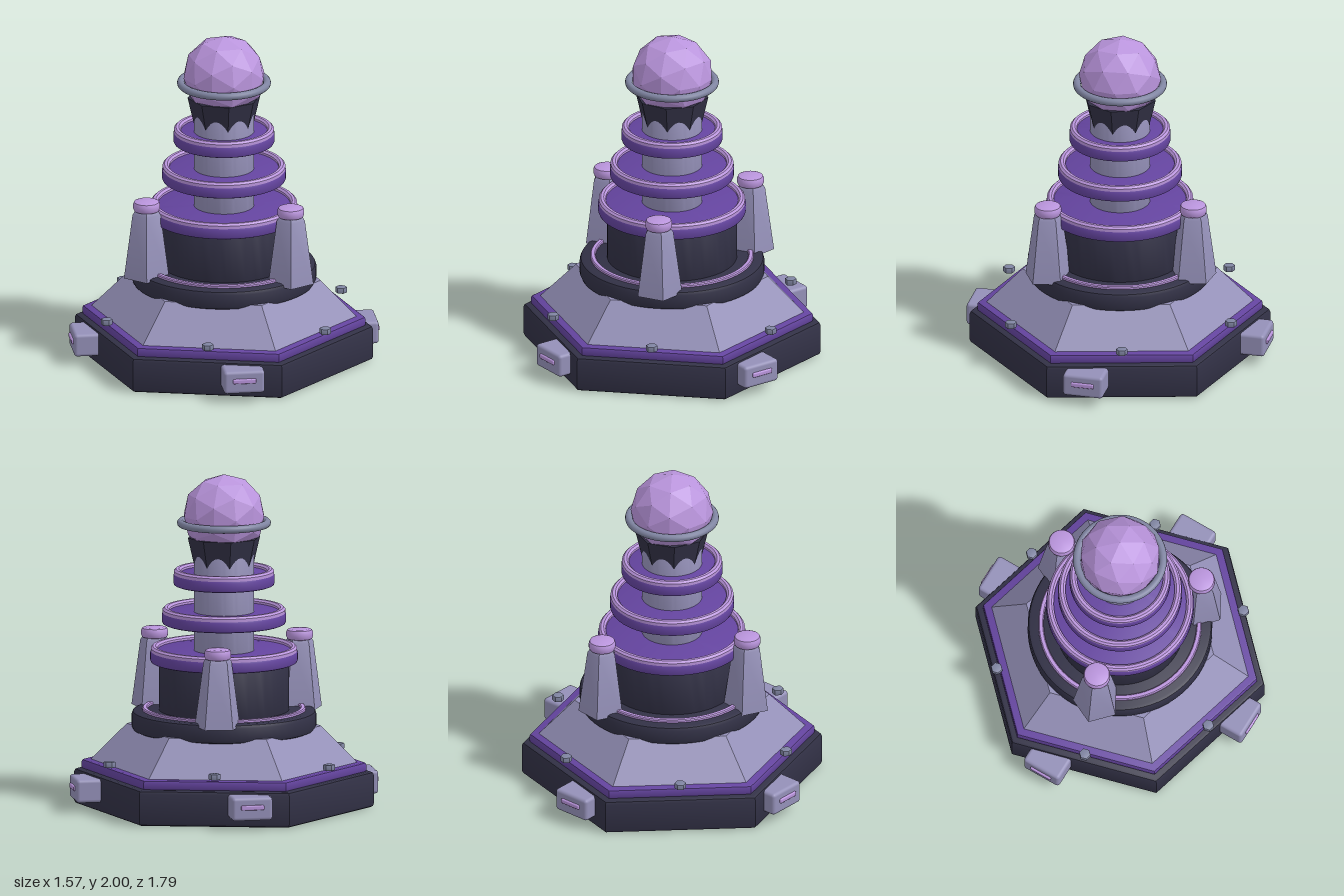
import * as THREE from 'three';
import { toCreasedNormals } from 'three/addons/utils/BufferGeometryUtils.js';
import { RoundedBoxGeometry } from 'three/addons/geometries/RoundedBoxGeometry.js';

const material = (name, color) => {
  const m = new THREE.MeshStandardMaterial({ color });
  m.name = name;
  return m;
};

export function createModel() {
  const dark = material('dark metal', 0x323146);
  const stone = material('lavender stone', 0x9490b8);
  const purple = material('purple trim', 0x64449f);
  const pink = material('pink crystal', 0xba95dd);
  const grey = material('grey metal', 0x8085a2);

  const model = new THREE.Group();
  model.name = 'crystalTower';

  const add = (name, geometry, mat, x = 0, y = 0, z = 0, parent = model) => {
    const mesh = new THREE.Mesh(geometry, mat);
    mesh.name = name;
    mesh.position.set(x, y, z);
    parent.add(mesh);
    return mesh;
  };

  // Turned solid from [radius, y] pairs, with sharp edges kept
  const turned = (profile, sides = 64) => toCreasedNormals(
    new THREE.LatheGeometry(profile.map(([r, y]) => new THREE.Vector2(r, y)), sides), 0.5);

  // Solid disc with bevelled rims
  const disc = (r, y0, y1, b, sides) => turned(
    [[0, y0], [r - b, y0], [r - b * 0.3, y0 + b * 0.3], [r, y0 + b],
      [r, y1 - b], [r - b * 0.3, y1 - b * 0.3], [r - b, y1], [0, y1]], sides);

  // Flat ring with bevelled top
  const ring = (inner, outer, y0, y1, b) => turned(
    [[inner, y0], [outer, y0], [outer, y1 - b], [outer - b, y1],
      [inner + b, y1], [inner, y1 - b], [inner, y0]]);

  // Hexagonal base, trim and sloped plinth
  add('base', disc(0.895, 0, 0.215, 0.022, 6), dark);
  add('baseTrim', disc(0.85, 0.21, 0.27, 0.015, 6), purple);
  add('plinth', turned([[0, 0.26], [0.805, 0.26], [0.58, 0.488], [0, 0.488]], 6), stone);

  // Round collar and drum
  add('collar', disc(0.55, 0.46, 0.58, 0.025), dark);
  add('collarRing', ring(0.455, 0.487, 0.575, 0.597, 0.006), pink);
  add('drum', disc(0.387, 0.57, 0.88, 0.01), dark);

  // Column with three stacked discs
  add('column', disc(0.18, 0.87, 1.6, 0.005), stone);
  [[0.44, 0.867], [0.37, 1.1], [0.302, 1.332]].forEach(([r, y], i) => {
    add(`disc${i + 1}`, disc(r, y, y + 0.073, 0.015), purple);
    add(`discRing${i + 1}`, ring(r - 0.045, r - 0.004, y + 0.062, y + 0.098, 0.012), pink);
  });

  // Faceted crown, crystal and its hoop
  add('crown', turned([[0, 1.38], [0.163, 1.38], [0.219, 1.622], [0, 1.622]], 8), dark);
  const crystal = add('crystal',
    toCreasedNormals(new THREE.IcosahedronGeometry(0.247, 1), 0.05), pink, 0, 1.753, 0);
  crystal.rotation.y = 0.89;
  const hoop = add('crystalHoop', new THREE.TorusGeometry(0.257, 0.023, 12, 64), grey, 0, 1.708, 0);
  hoop.rotation.x = Math.PI / 2;

  // Three tapered five-sided pylons with rounded caps
  const pylonGeometry = turned(
    [[0, 0.557], [0.142, 0.557], [0.088, 0.95], [0.074, 0.972], [0, 0.972]], 5);
  const capGeometry = disc(0.08, 0.965, 1.03, 0.02, 32);
  for (let i = 0; i < 3; i++) {
    const a = i * Math.PI * 2 / 3;
    const x = 0.5 * Math.cos(a), z = 0.5 * Math.sin(a);
    add('pylon', pylonGeometry, stone, x, 0, z).rotation.y = 0.66;
    add('pylonCap', capGeometry, pink, x, 0, z);
  }

  // Six bolts above the middle of each hexagon side
  const boltGeometry = disc(0.035, 0.285, 0.32, 0.004, 6);
  for (let i = 0; i < 6; i++) {
    const a = i * Math.PI / 3;
    add('bolt', boltGeometry, grey, 0.757 * Math.cos(a), 0, 0.757 * Math.sin(a));
  }

  // Four diagonal boxes with light bars
  for (let i = 0; i < 4; i++) {
    const unit = new THREE.Group();
    unit.name = 'sideUnit';
    unit.rotation.y = Math.PI / 4 + i * Math.PI / 2;
    model.add(unit);
    add('sideBox', new RoundedBoxGeometry(0.245, 0.14, 0.28, 3, 0.02), stone, 0, 0.13, 0.775, unit);
    add('lightBar', new RoundedBoxGeometry(0.14, 0.03, 0.024, 2, 0.008), pink, 0, 0.14, 0.914, unit);
  }

  return model;
}
